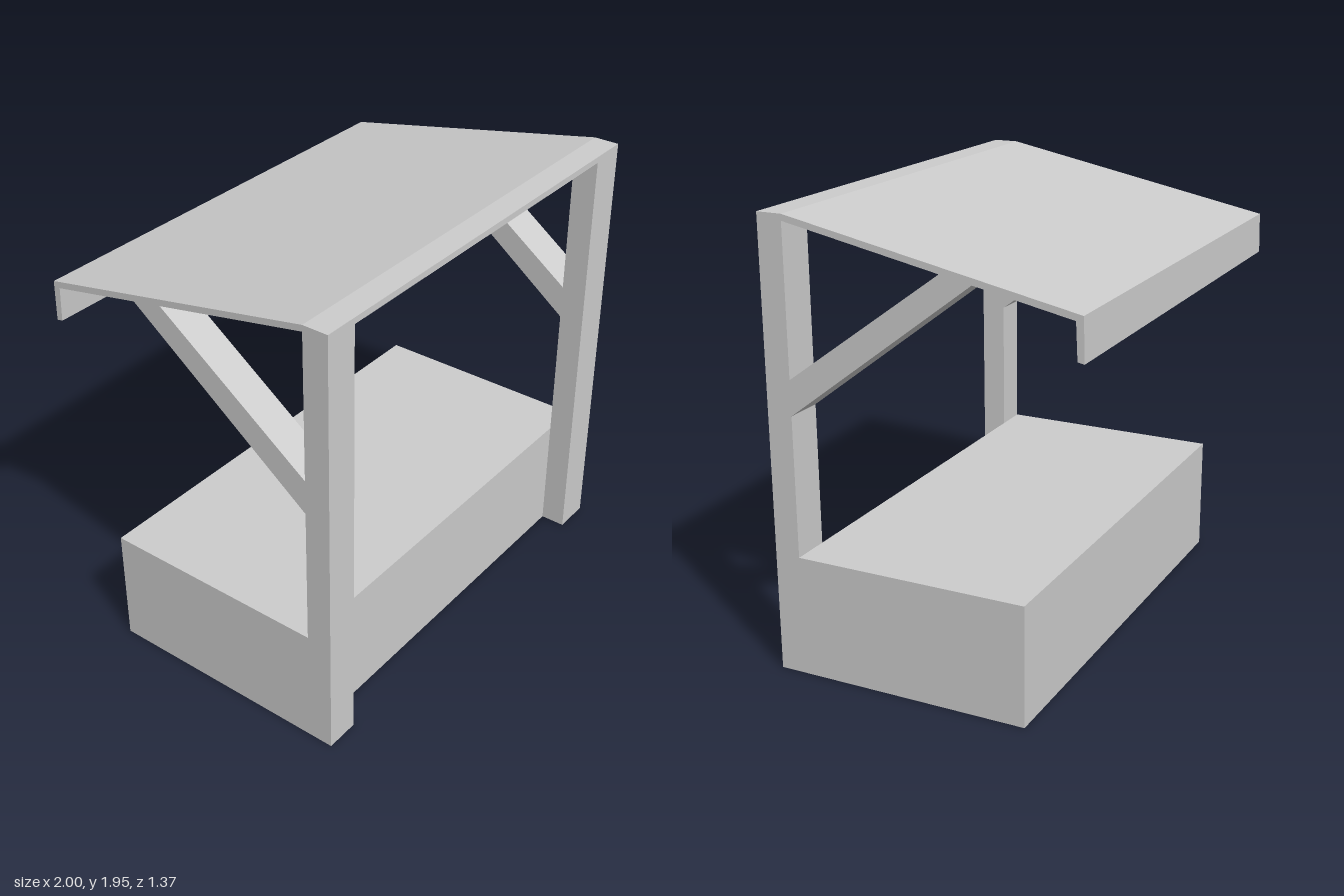
import * as THREE from 'three';

const material = new THREE.MeshStandardMaterial({ color: 0xcccccc, flatShading: true });

// Extrudes a [z, y] side profile across the width from x0 to x1.
function sidePart(name, profile, x0, x1) {
  const shape = new THREE.Shape(profile.map(([z, y]) => new THREE.Vector2(z, y)));
  const geometry = new THREE.ExtrudeGeometry(shape, { depth: x1 - x0, bevelEnabled: false });
  geometry.rotateY(-Math.PI / 2).translate(x1, 0, 0);
  const mesh = new THREE.Mesh(geometry, material);
  mesh.name = name;
  return mesh;
}

export function createModel() {
  const group = new THREE.Group();
  group.name = 'marketStall';

  const front = 0.687, postBack = 0.575, top = 1.945, under = 1.918;

  // Solid counter behind the posts
  group.add(sidePart('counter', [
    [postBack, 0], [postBack, 0.525], [-0.448, 0.525], [-0.448, 0],
  ], -1, 1));

  // Post and diagonal brace on each side
  for (const [side, x0, x1] of [['right', -1, -0.85], ['left', 0.83, 1]]) {
    group.add(sidePart(side + 'Post', [
      [front, 0], [front, under], [postBack, under], [postBack, 0],
    ], x0, x1));
    group.add(sidePart(side + 'Brace', [
      [postBack, 1.285], [-0.105, 1.782], [-0.24, 1.755], [postBack, 1.135],
    ], x0, x1));
  }

  // Thin sloping roof with a flat front strip and a hanging rear lip
  group.add(sidePart('roof', [
    [front, top], [postBack, top], [-0.682, 1.694], [-0.687, 1.517],
    [-0.659, 1.522], [-0.652, 1.672], [postBack, under], [front, under],
  ], -1, 1));

  return group;
}
